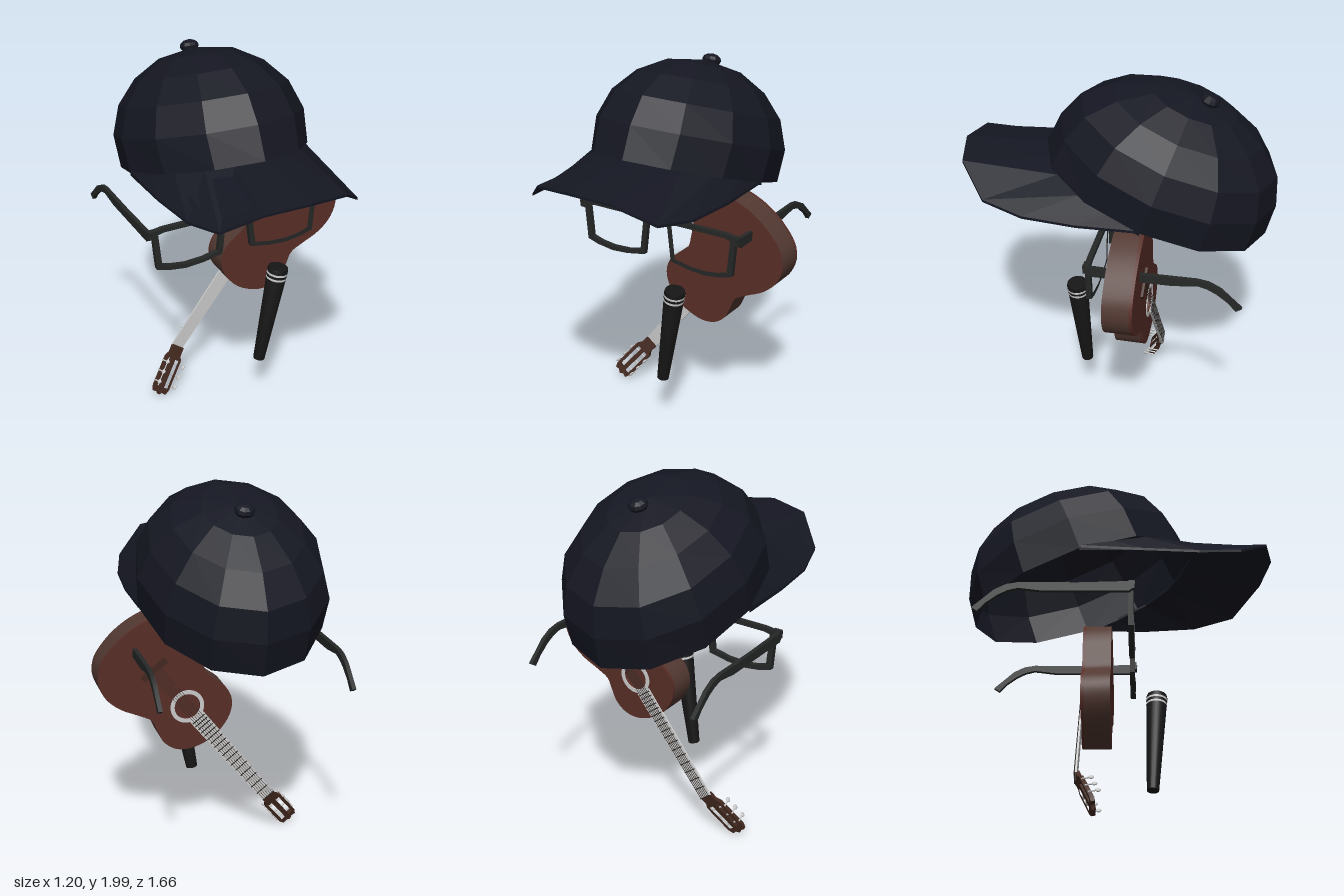
import * as THREE from 'three';
import { toCreasedNormals } from 'three/addons/utils/BufferGeometryUtils.js';

const mat = (color, extra = {}) => new THREE.MeshStandardMaterial({ color, ...extra });
const NAVY = mat(0x151722, { flatShading: true, side: THREE.DoubleSide });
const FRAME = mat(0x252827), BLACK = mat(0x161616), GREY = mat(0xcccccc);
const WOOD = mat(0x592e27), SIDEWOOD = mat(0x533932), DARKWOOD = mat(0x42281f), STRING = mat(0x2a2522);

function add(parent, name, geometry, material, pos = [0, 0, 0]) {
  const m = new THREE.Mesh(geometry, material);
  m.name = name;
  m.position.set(...pos);
  parent.add(m);
  return m;
}
const group = (parent, name) => {
  const g = new THREE.Group();
  g.name = name;
  parent.add(g);
  return g;
};
const box = (w, h, d) => new THREE.BoxGeometry(w, h, d);
const toShape = pts => new THREE.Shape(pts.map(([x, y]) => new THREE.Vector2(x, y)));
const extrude = (shape, depth) => toCreasedNormals(
  new THREE.ExtrudeGeometry(shape, { depth, bevelEnabled: false, curveSegments: 24 }), 0.6);

// Surface through a grid of points (rows of equal length)
function skin(rows) {
  const n = rows[0].length, index = [];
  for (let i = 0; i < rows.length - 1; i++)
    for (let j = 0; j < n - 1; j++) {
      const a = i * n + j, b = a + n;
      index.push(a, a + 1, b, a + 1, b + 1, b);
    }
  const g = new THREE.BufferGeometry();
  g.setAttribute('position', new THREE.Float32BufferAttribute(rows.flat(2), 3));
  g.setIndex(index);
  const flat = g.toNonIndexed();
  flat.computeVertexNormals();
  return flat;
}

function buildCap(root) {
  const cap = group(root, 'cap');
  cap.position.x = -0.1;
  // Point on the crown, whose axis leans back: lengthwise radius, half width, height, angle
  const crownPoint = (ru, rx, n, t) => {
    const u = ru * Math.cos(t);
    return [rx * Math.sin(t), 1.41 + 0.338 * u + 0.941 * n, -0.195 + 0.941 * u - 0.338 * n];
  };
  const rings = [[0.621, 0.475, 0], [0.605, 0.49, 0.18], [0.545, 0.435, 0.335],
    [0.41, 0.33, 0.46], [0.235, 0.19, 0.545], [0, 0, 0.578]];
  const angles = Array.from({ length: 13 }, (_, i) => i * Math.PI / 6);
  add(cap, 'crown', skin(rings.map(r => angles.map(t => crownPoint(...r, t)))), NAVY);

  // Curved brim: outer edge joined to the front half of the crown rim
  const edge = [[0, 1.595, 0.835], [0.22, 1.57, 0.79], [0.38, 1.445, 0.64],
    [0.44, 1.41, 0.42], [0.468, 1.41, 0.13], [0.478, 1.425, -0.19]];
  const rim = i => {
    const s = i * 0.6, k = Math.floor(s);
    const a = crownPoint(0.621, 0.475, 0, k * Math.PI / 6);
    const b = crownPoint(0.621, 0.475, 0, (k + 1) * Math.PI / 6);
    return a.map((v, c) => v + (b[c] - v) * (s - k));
  };
  const rows = [];
  for (let i = -5; i <= 5; i++) {
    const side = Math.sign(i), k = Math.abs(i), t = 0.014;
    const [ix, iy, iz] = rim(k), [ox, oy, oz] = edge[k];
    rows.push([[side * ix, iy, iz], [side * ox, oy, oz],
      [side * ox, oy - t, oz], [side * ix, iy - t, iz], [side * ix, iy, iz]]);
  }
  add(cap, 'brim', skin(rows), NAVY);

  const button = add(cap, 'capButton', new THREE.SphereGeometry(0.052, 10, 6), NAVY, [0, 1.938, -0.458]);
  button.scale.y = 0.65;
  button.rotation.x = -0.345;
}

function buildGlasses(root) {
  const glasses = group(root, 'glasses');
  glasses.position.x = -0.1;
  const outer = [[0.06, 1.185], [0.1, 1.205], [0.42, 1.205], [0.485, 1.195], [0.465, 0.97],
    [0.4, 0.95], [0.3, 0.936], [0.2, 0.943], [0.085, 0.965]];
  const inner = [[0.09, 1.175], [0.12, 1.18], [0.42, 1.18], [0.452, 1.172], [0.435, 0.99],
    [0.38, 0.973], [0.3, 0.962], [0.2, 0.967], [0.112, 0.985]];
  // Temple profile drawn as (-z, y), with the ear hook at the end
  const temple = [[-0.09, 1.195], [0.2, 1.19], [0.5, 1.195], [0.56, 1.185], [0.62, 1.155], [0.68, 1.1],
    [0.73, 1.055], [0.7, 1.035], [0.66, 1.08], [0.6, 1.125], [0.55, 1.15], [0.5, 1.162],
    [0.38, 1.145], [-0.06, 1.14], [-0.085, 1.165]];
  for (const s of [-1, 1]) {
    const shape = toShape(outer.map(([x, y]) => [s * x, y]));
    shape.holes.push(toShape(inner.map(([x, y]) => [s * x, y])));
    add(glasses, 'lensRim', extrude(shape, 0.028), FRAME, [0, 0, 0.053]);
    add(glasses, 'hinge', box(0.045, 0.045, 0.03), FRAME, [s * 0.485, 1.178, 0.072]);
    const arm = add(glasses, 'temple', extrude(toShape(temple), 0.022), FRAME, [s * 0.498 - 0.011, 0, 0]);
    arm.rotation.y = Math.PI / 2;
  }
  add(glasses, 'bridge', box(0.15, 0.022, 0.026), FRAME, [0, 1.182, 0.067]);
}

function buildMicrophone(root) {
  const mic = group(root, 'microphone');
  mic.position.set(-0.01, 0.293, 0.17);
  mic.quaternion.setFromUnitVectors(new THREE.Vector3(0, 1, 0), new THREE.Vector3(0.1, 0.575, 0.028).normalize());
  const profile = [[0, 0], [0.032, 0], [0.057, 0.57], [0.053, 0.585], [0, 0.588]];
  const body = new THREE.LatheGeometry(profile.map(p => new THREE.Vector2(...p)), 24);
  add(mic, 'handle', toCreasedNormals(body, 0.5), BLACK);
  for (const y of [0.525, 0.553]) {
    const r = 0.033 + 0.025 * y / 0.57;
    add(mic, 'band', new THREE.CylinderGeometry(r, r, 0.012, 24), GREY, [0, y, 0]);
  }
}

function buildGuitar(root) {
  // Local y runs from headstock to tail, strings face -z
  const guitar = group(root, 'guitar');
  guitar.position.set(-0.04, 0.63, 0);
  guitar.rotation.z = -0.662;

  const half = [[0.07, 0.03], [0.145, 0.06], [0.2, 0.115], [0.22, 0.19], [0.203, 0.27], [0.19, 0.33],
    [0.225, 0.41], [0.27, 0.5], [0.288, 0.6], [0.262, 0.695], [0.2, 0.757], [0.1, 0.79]];
  const outline = [[0, 0.02], ...half, [0, 0.8], ...half.map(([x, y]) => [-x, y]).reverse()];
  const curve = new THREE.CatmullRomCurve3(outline.map(([x, y]) => new THREE.Vector3(x, y, 0)), true);
  const bodyShape = () => toShape(curve.getPoints(96).slice(0, -1).map(p => [p.x, p.y]));
  const solid = new THREE.ExtrudeGeometry(bodyShape(), { depth: 0.14, bevelEnabled: false });
  const creased = toCreasedNormals(solid, 0.6);
  solid.groups.forEach(g => creased.groups.length < solid.groups.length && creased.addGroup(g.start, g.count, g.materialIndex));
  add(guitar, 'body', creased, [WOOD, SIDEWOOD], [0, 0, -0.19]);
  const board = bodyShape();
  board.holes.push(new THREE.Path().absarc(0, 0.26, 0.07, 0, Math.PI * 2, true));
  add(guitar, 'soundboard', extrude(board, 0.017), WOOD, [0, 0, -0.207]);
  const ring = new THREE.Shape().absarc(0, 0.26, 0.092, 0, Math.PI * 2);
  ring.holes.push(new THREE.Path().absarc(0, 0.26, 0.07, 0, Math.PI * 2, true));
  add(guitar, 'rosette', extrude(ring, 0.004), GREY, [0, 0, -0.211]);

  // Neck with frets
  const neck = [[-0.038, -0.49], [0.038, -0.49], [0.046, 0.175], [-0.046, 0.175]];
  add(guitar, 'neck', extrude(toShape(neck), 0.01), GREY, [0, 0, -0.213]);
  for (let i = 0; i < 18; i++) {
    const y = 0.55 - 1.04 * Math.pow(2, -i / 12);
    add(guitar, 'fret', box(0.076 + 0.012 * (y + 0.49), 0.005, 0.003), STRING, [0, y, -0.2135]);
  }
  // Bridge and strings
  add(guitar, 'bridge', box(0.16, 0.035, 0.014), DARKWOOD, [0, 0.55, -0.213]);
  for (let i = 0; i < 6; i++)
    add(guitar, 'string', box(0.002, 1.04, 0.002), STRING, [(i - 2.5) * 0.012, 0.03, -0.218]);

  // Slotted headstock, tilted away from the strings
  const head = group(guitar, 'headstock');
  head.position.set(0, -0.485, -0.212);
  head.rotation.x = -0.31;
  const side = [[0.038, 0], [0.038, -0.05], [0.054, -0.075], [0.054, -0.255], [0.042, -0.285], [0.018, -0.28]];
  const plate = toShape([...side, [0, -0.295], ...side.map(([x, y]) => [-x, y]).reverse()]);
  for (const s of [-1, 1])
    plate.holes.push(toShape([[0.013, -0.08], [0.037, -0.08], [0.037, -0.25], [0.013, -0.25]].map(([x, y]) => [s * x, y])));
  add(head, 'headPlate', extrude(plate, 0.022), DARKWOOD);
  for (const s of [-1, 1])
    for (const y of [-0.105, -0.165, -0.225]) {
      const roller = add(head, 'roller', new THREE.CylinderGeometry(0.005, 0.005, 0.05, 8), GREY, [s * 0.035, y, 0.011]);
      roller.rotation.z = Math.PI / 2;
      const stem = add(head, 'pegStem', new THREE.CylinderGeometry(0.004, 0.004, 0.045, 8), GREY, [s * 0.058, y, 0.025]);
      stem.rotation.x = Math.PI / 2;
      const knob = add(head, 'pegKnob', new THREE.SphereGeometry(0.014, 10, 8), GREY, [s * 0.058, y, 0.053]);
      knob.scale.x = 0.5;
    }
}

export function createModel() {
  const root = new THREE.Group();
  root.name = 'performerAccessories';
  buildCap(root);
  buildGlasses(root);
  buildMicrophone(root);
  buildGuitar(root);
  return root;
}
